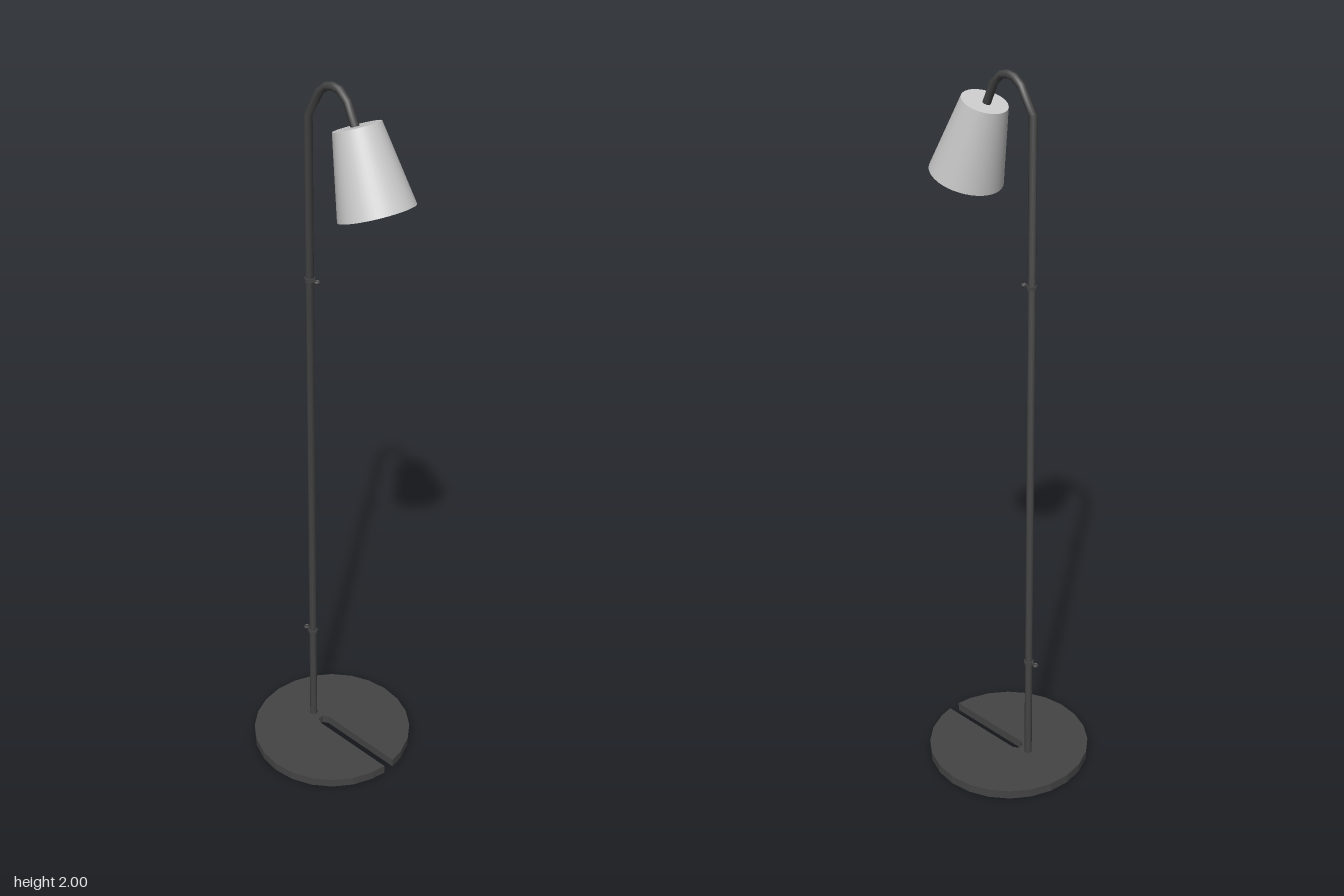
import * as THREE from 'three';

const dark = new THREE.MeshStandardMaterial({ color: 0x444444 });
const grey = new THREE.MeshStandardMaterial({ color: 0xcccccc, side: THREE.DoubleSide });
const POLE_Z = -0.083;

function add(parent, name, geometry, material = dark) {
  const mesh = new THREE.Mesh(geometry, material);
  mesh.name = name;
  parent.add(mesh);
  return mesh;
}

// Straight-segment path with mitred corners
class Polyline extends THREE.Curve {
  constructor(points) { super(); this.points = points; }
  getPoint(t, target = new THREE.Vector3()) {
    const n = this.points.length - 1;
    const i = Math.min(Math.floor(t * n + 1e-6), n - 1);
    return target.lerpVectors(this.points[i], this.points[i + 1], t * n - i);
  }
  getPointAt(u, target) { return this.getPoint(u, target); }
  getTangentAt(u, target = new THREE.Vector3()) {
    const p = this.points, n = p.length - 1, i = Math.round(u * n);
    target.set(0, 0, 0);
    if (i > 0) target.add(p[i].clone().sub(p[i - 1]).normalize());
    if (i < n) target.add(p[i + 1].clone().sub(p[i]).normalize());
    return target.normalize();
  }
}

// Round base plate with a cable slot open to the front
function baseGeometry() {
  const r = 0.235, w = 0.018, cy = 0.004, slotY = 0.037;
  const half = Math.asin(w / r), points = [];
  const onRim = a => points.push(new THREE.Vector2(r * Math.cos(a), cy + r * Math.sin(a)));
  onRim(-Math.PI / 2 + half);
  for (let i = -5; i <= 17; i++) onRim(i * Math.PI / 12);
  onRim(1.5 * Math.PI - half);
  for (let i = 3; i >= 0; i--) {
    const a = i * Math.PI / 3;
    points.push(new THREE.Vector2(w * Math.cos(a), slotY + w * Math.sin(a)));
  }
  return new THREE.ExtrudeGeometry(new THREE.Shape(points), { depth: 0.026, bevelEnabled: false })
    .rotateX(-Math.PI / 2);
}

// Collar round the pole with a small cable ring on one side
function cableClip(name, y, side) {
  const clip = new THREE.Group();
  clip.name = name;
  clip.position.set(0, y, POLE_Z);
  add(clip, 'collar', new THREE.CylinderGeometry(0.0145, 0.0145, 0.009, 8));
  const ring = add(clip, 'cableRing', new THREE.TorusGeometry(0.0062, 0.0022, 6, 10).rotateX(Math.PI / 2));
  ring.scale.y = 2;
  ring.position.z = side * 0.0265;
  const bridge = add(clip, 'clipBridge', new THREE.BoxGeometry(0.005, 0.008, 0.008));
  bridge.position.z = side * 0.0165;
  return clip;
}

export function createModel() {
  const lamp = new THREE.Group();
  lamp.name = 'floorLamp';

  add(lamp, 'base', baseGeometry());

  // Pole and bent neck as one tube
  const path = [
    [0.01, POLE_Z], [1.905, POLE_Z], [1.968, -0.044], [1.985, -0.022], [1.989, 0],
    [1.985, 0.022], [1.962, 0.047], [1.905, 0.074],
  ].map(([y, z]) => new THREE.Vector3(0, y, z));
  add(lamp, 'poleAndNeck', new THREE.TubeGeometry(new Polyline(path), path.length - 1, 0.0107, 8));

  lamp.add(cableClip('upperCableClip', 1.475, 1));
  lamp.add(cableClip('lowerCableClip', 0.345, -1));

  // Tilted conical shade, closed on top and open below
  const shade = new THREE.Group();
  shade.name = 'shade';
  shade.position.set(0, 1.912, 0.078);
  shade.rotation.x = -0.335;
  const height = 0.206;
  add(shade, 'shadeWall',
    new THREE.CylinderGeometry(0.06, 0.097, height, 40, 1, true).translate(0, -height / 2, 0), grey);
  add(shade, 'shadeTop', new THREE.CircleGeometry(0.06, 40).rotateX(-Math.PI / 2), grey);
  lamp.add(shade);

  return lamp;
}
